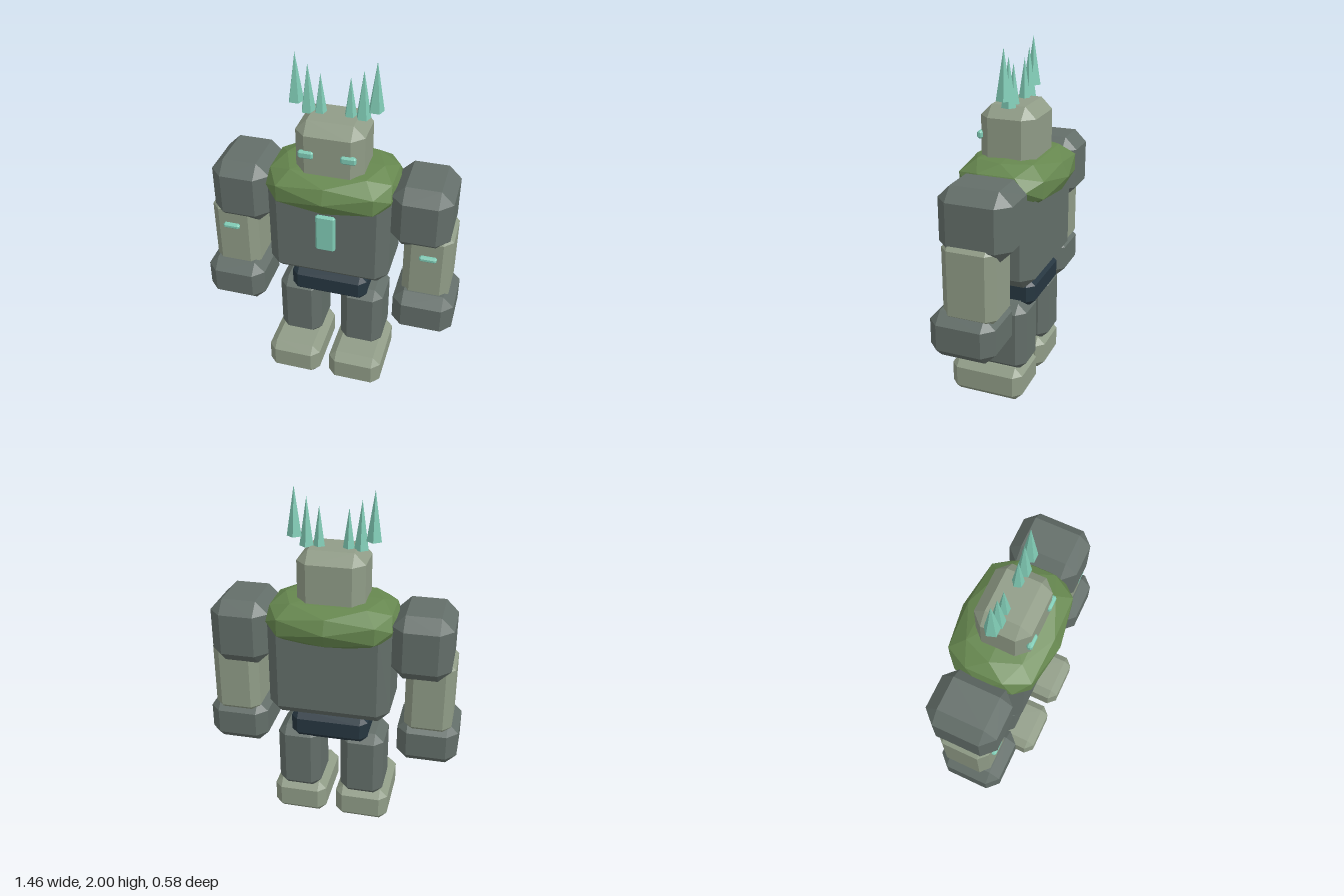
import * as THREE from 'three';
import { ConvexGeometry } from 'three/addons/geometries/ConvexGeometry.js';

const mat = (name, color) => {
  const m = new THREE.MeshStandardMaterial({ color });
  m.name = name;
  return m;
};

// Box between two corners, with every edge cut off by c
function chamferBox([x0, y0, z0], [x1, y1, z1], c) {
  const center = new THREE.Vector3(x0 + x1, y0 + y1, z0 + z1).multiplyScalar(0.5);
  const half = [(x1 - x0) / 2, (y1 - y0) / 2, (z1 - z0) / 2];
  const points = [];
  for (const sx of [-1, 1]) for (const sy of [-1, 1]) for (const sz of [-1, 1]) {
    for (let axis = 0; axis < 3; axis++) {
      const h = half.map((v, i) => (i === axis ? v : v - c));
      points.push(new THREE.Vector3(sx * h[0], sy * h[1], sz * h[2]));
    }
  }
  const geometry = new ConvexGeometry(points);
  geometry.translate(center.x, center.y, center.z);
  return geometry;
}

// Faceted, squarish mound
function mossGeometry() {
  const geometry = new THREE.IcosahedronGeometry(1, 1);
  const p = geometry.attributes.position;
  const bulge = (v, power, size) => Math.sign(v) * Math.abs(v) ** power * size;
  for (let i = 0; i < p.count; i++) {
    p.setXYZ(i, bulge(p.getX(i), 0.5, 0.375), bulge(p.getY(i), 0.9, 0.138), bulge(p.getZ(i), 0.85, 0.287));
  }
  geometry.computeVertexNormals();
  return geometry;
}

// Five-sided spike standing on y = 0
function spikeGeometry(radius, height) {
  const geometry = new THREE.ConeGeometry(radius, height, 5).toNonIndexed();
  geometry.computeVertexNormals();
  geometry.rotateY(Math.PI);
  geometry.translate(0, height / 2, 0);
  return geometry;
}

export function createModel() {
  const model = new THREE.Group();
  model.name = 'stoneGolem';
  const darkStone = mat('darkStone', 0x636e69);
  const paleStone = mat('paleStone', 0x909c87);
  const moss = mat('moss', 0x66874f);
  const crystal = mat('crystal', 0x80cbb5);
  const slate = mat('slate', 0x263640);

  const add = (name, geometry, material, parent = model) => {
    const mesh = new THREE.Mesh(geometry, material);
    mesh.name = name;
    parent.add(mesh);
    return mesh;
  };

  // Trunk and head
  add('pelvis', chamferBox([-0.222, 0.56, -0.17], [0.222, 0.73, 0.17], 0.04), slate);
  add('torso', chamferBox([-0.345, 0.72, -0.205], [0.345, 1.36, 0.2], 0.065), darkStone);
  add('chestCrystal', chamferBox([-0.055, 0.94, 0.18], [0.055, 1.17, 0.219], 0.01), crystal);
  add('mossMantle', mossGeometry(), moss).position.set(0, 1.29, -0.003);
  add('head', chamferBox([-0.187, 1.33, -0.147], [0.187, 1.685, 0.166], 0.062), paleStone);

  // Paired parts: x ranges run from the inner to the outer side
  const parts = [
    ['foot', [0.03, 0, -0.14], [0.345, 0.21, 0.295], 0.045, paleStone],
    ['leg', [0.06, 0.185, -0.15], [0.313, 0.605, 0.142], 0.05, darkStone],
    ['shoulder', [0.34, 1.01, -0.205], [0.67, 1.385, 0.197], 0.07, darkStone],
    ['forearm', [0.422, 0.66, -0.137], [0.69, 1.115, 0.165], 0.047, paleStone],
    ['fist', [0.385, 0.455, -0.137], [0.73, 0.72, 0.232], 0.06, darkStone],
    ['forearmCrystal', [0.517, 0.955, 0.15], [0.612, 0.985, 0.187], 0.009, crystal],
    ['eye', [0.073, 1.495, 0.15], [0.156, 1.538, 0.181], 0.009, crystal],
  ];
  // Crown spikes: x, base height, radius, length
  const spikes = [[0.08, 1.68, 0.034, 0.22], [0.148, 1.68, 0.041, 0.265], [0.214, 1.73, 0.043, 0.27]];

  for (const [side, s] of [['left', 1], ['right', -1]]) {
    for (const [name, a, b, c, material] of parts) {
      const [x0, x1] = s > 0 ? [a[0], b[0]] : [-b[0], -a[0]];
      add(`${side} ${name}`, chamferBox([x0, a[1], a[2]], [x1, b[1], b[2]], c), material);
    }
    const crown = new THREE.Group();
    crown.name = `${side} crownSpikes`;
    model.add(crown);
    for (const [x, y, radius, length] of spikes) {
      add('spike', spikeGeometry(radius, length), crystal, crown).position.set(s * x, y, -0.003);
    }
  }
  return model;
}
